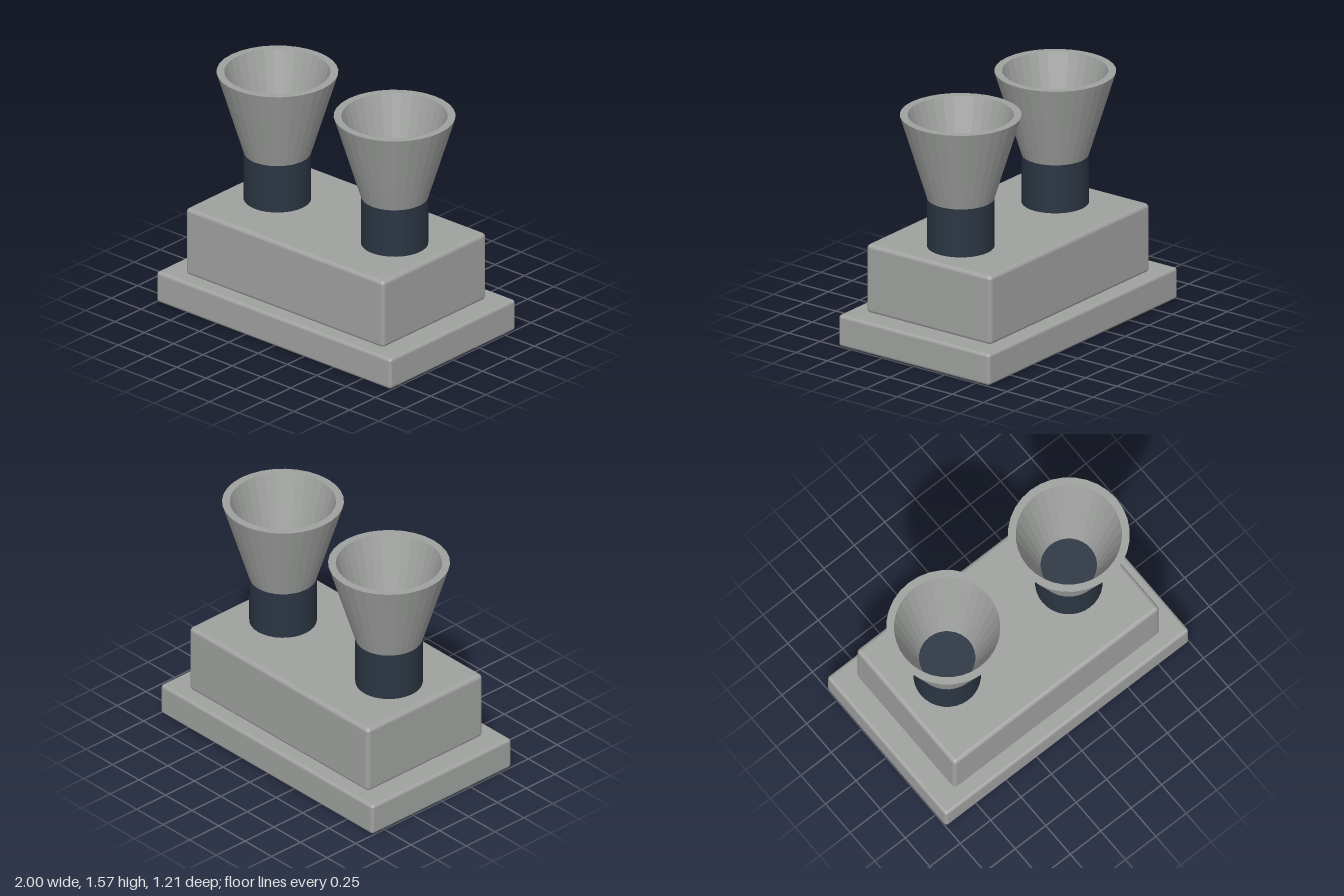
import * as THREE from 'three';
import { RoundedBoxGeometry } from 'three/addons/geometries/RoundedBoxGeometry.js';

export function createModel() {
  const model = new THREE.Group();
  const grey = new THREE.MeshStandardMaterial({ color: 0xa0a2a0 });
  grey.name = 'lightGrey';
  const greyFlat = grey.clone();
  greyFlat.flatShading = false;
  const navy = new THREE.MeshStandardMaterial({ color: 0x2b3542 });
  navy.name = 'darkNavy';

  function add(name, geometry, material, x, y, z) {
    const mesh = new THREE.Mesh(geometry, material);
    mesh.name = name;
    mesh.position.set(x, y, z);
    model.add(mesh);
  }

  // Stepped housing with softened edges
  add('basePlate', new RoundedBoxGeometry(2, 0.215, 1.21, 3, 0.022), grey, 0, 0.1075, 0);
  add('upperBlock', new RoundedBoxGeometry(1.69, 0.47, 1, 3, 0.028), grey, 0, 0.44, 0);

  // Thick-walled funnel, open at both ends, with faceted sides
  const profile = [[0.18, 1], [0.215, 1], [0.39, 1.57], [0.34, 1.57], [0.18, 1]]
    .map(([r, y]) => new THREE.Vector2(r, y));
  const funnel = new THREE.LatheGeometry(profile, 32).toNonIndexed();
  funnel.computeVertexNormals();

  // Matching pair of necks and funnels
  for (const [side, x] of [['right', -0.5], ['left', 0.5]]) {
    add(side + 'Neck', new THREE.CylinderGeometry(0.216, 0.216, 0.34, 32), navy, x, 0.832, 0);
    add(side + 'Funnel', funnel, grey, x, 0, 0);
  }
  return model;
}
